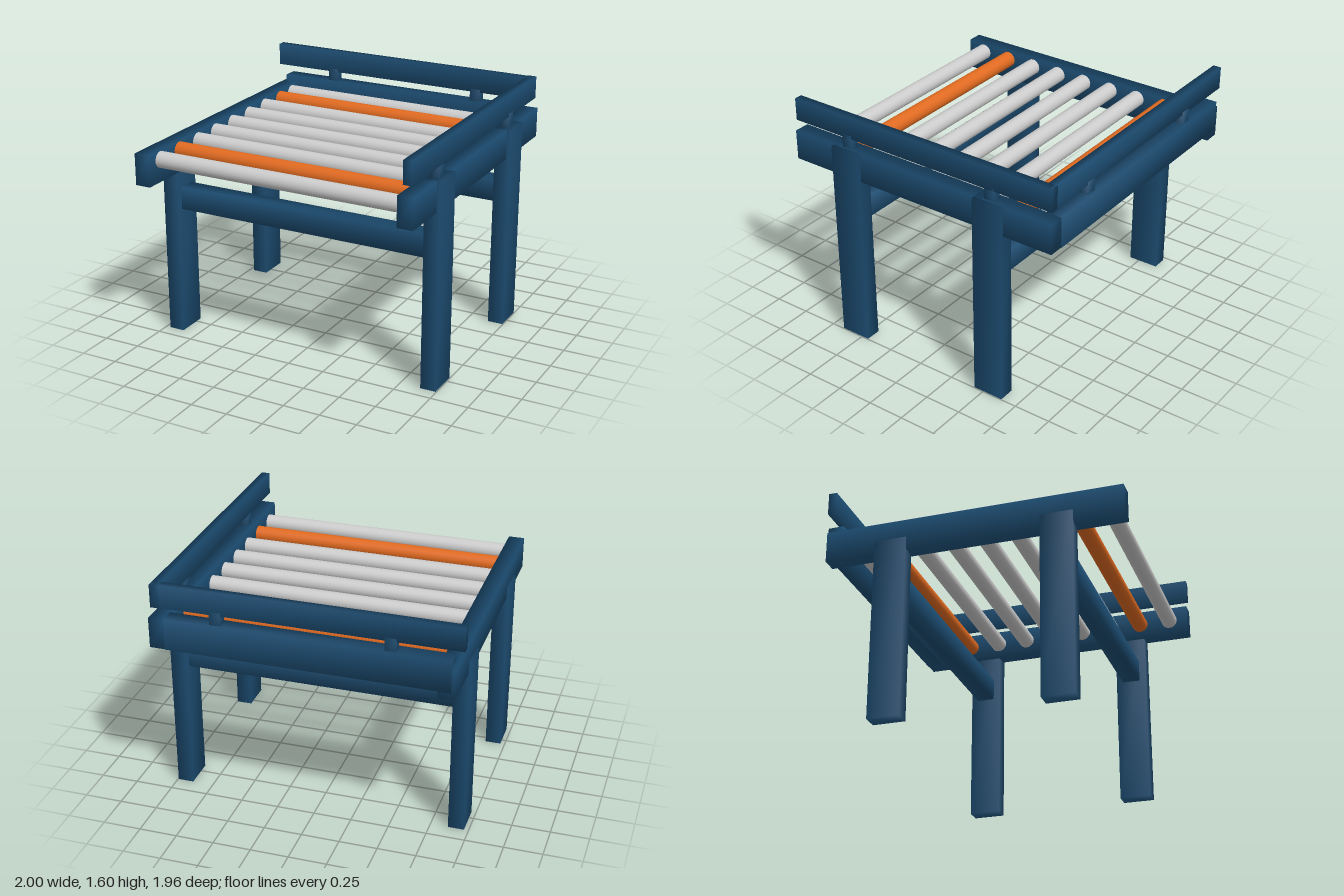
import * as THREE from 'three';
import { mergeVertices } from 'three/addons/utils/BufferGeometryUtils.js';

const blue = new THREE.MeshStandardMaterial({ color: 0x1b4a6e });
const orange = new THREE.MeshStandardMaterial({ color: 0xe06a20 });
const grey = new THREE.MeshStandardMaterial({ color: 0xcccccc });

// Box given by its min/max on each axis, with normals shared across the corners
function bar(name, [x0, x1], [y0, y1], [z0, z1]) {
  let geo = new THREE.BoxGeometry(x1 - x0, y1 - y0, z1 - z0);
  geo.deleteAttribute('normal');
  geo.deleteAttribute('uv');
  geo = mergeVertices(geo);
  geo.computeVertexNormals();
  const mesh = new THREE.Mesh(geo, blue);
  mesh.name = name;
  mesh.position.set((x0 + x1) / 2, (y0 + y1) / 2, (z0 + z1) / 2);
  return mesh;
}

export function createModel() {
  const model = new THREE.Group();
  model.name = 'rollerConveyor';

  // Frame beams: the right one sits slightly lower
  const frame = new THREE.Group();
  frame.name = 'frame';
  frame.add(
    bar('leftBeam', [0.865, 0.97], [1.18, 1.38], [-0.98, 0.98]),
    bar('rightBeam', [-0.955, -0.85], [1.13, 1.34], [-0.98, 0.98]),
    bar('backBeam', [-0.93, 0.87], [1.18, 1.385], [-0.984, -0.877])
  );
  model.add(frame);

  // Legs in pairs, each pair joined by a cross bar
  const stand = new THREE.Group();
  stand.name = 'stand';
  for (const [end, z] of [['front', 0.555], ['back', -0.535]]) {
    const depth = [z - 0.105, z + 0.105];
    stand.add(
      bar(end + 'LeftLeg', [0.89, 0.995], [0, 1.38], depth),
      bar(end + 'RightLeg', [-0.97, -0.865], [0, 1.21], depth),
      bar(end + 'CrossBar', [-0.87, 0.895], [0.86, 1.01], [z - 0.06, z + 0.06])
    );
  }
  model.add(stand);

  // Guard rails on short posts along the left side and the back
  const guard = new THREE.Group();
  guard.name = 'guardRails';
  guard.add(
    bar('leftRail', [0.9, 0.955], [1.45, 1.6], [-0.97, 0.98]),
    bar('backRail', [-1, 0.95], [1.45, 1.6], [-0.962, -0.907])
  );
  for (const z of [0.562, -0.528]) {
    guard.add(bar('leftRailPost', [0.9, 0.955], [1.34, 1.47], [z - 0.037, z + 0.037]));
  }
  for (const x of [-0.557, 0.54]) {
    guard.add(bar('backRailPost', [x - 0.036, x + 0.036], [1.34, 1.47], [-0.965, -0.904]));
  }
  model.add(guard);

  // Rollers, the second from each end coloured
  const rollers = new THREE.Group();
  rollers.name = 'rollers';
  const rollerGeo = new THREE.CylinderGeometry(0.054, 0.054, 1.74, 24).rotateZ(Math.PI / 2);
  for (let i = 0; i < 9; i++) {
    const accent = i === 1 || i === 7;
    const roller = new THREE.Mesh(rollerGeo, accent ? orange : grey);
    roller.name = accent ? 'accentRoller' : 'roller';
    roller.position.set(0.01, 1.28, i === 0 ? -0.81 : (i - 4) * 0.2135);
    rollers.add(roller);
  }
  model.add(rollers);

  return model;
}
